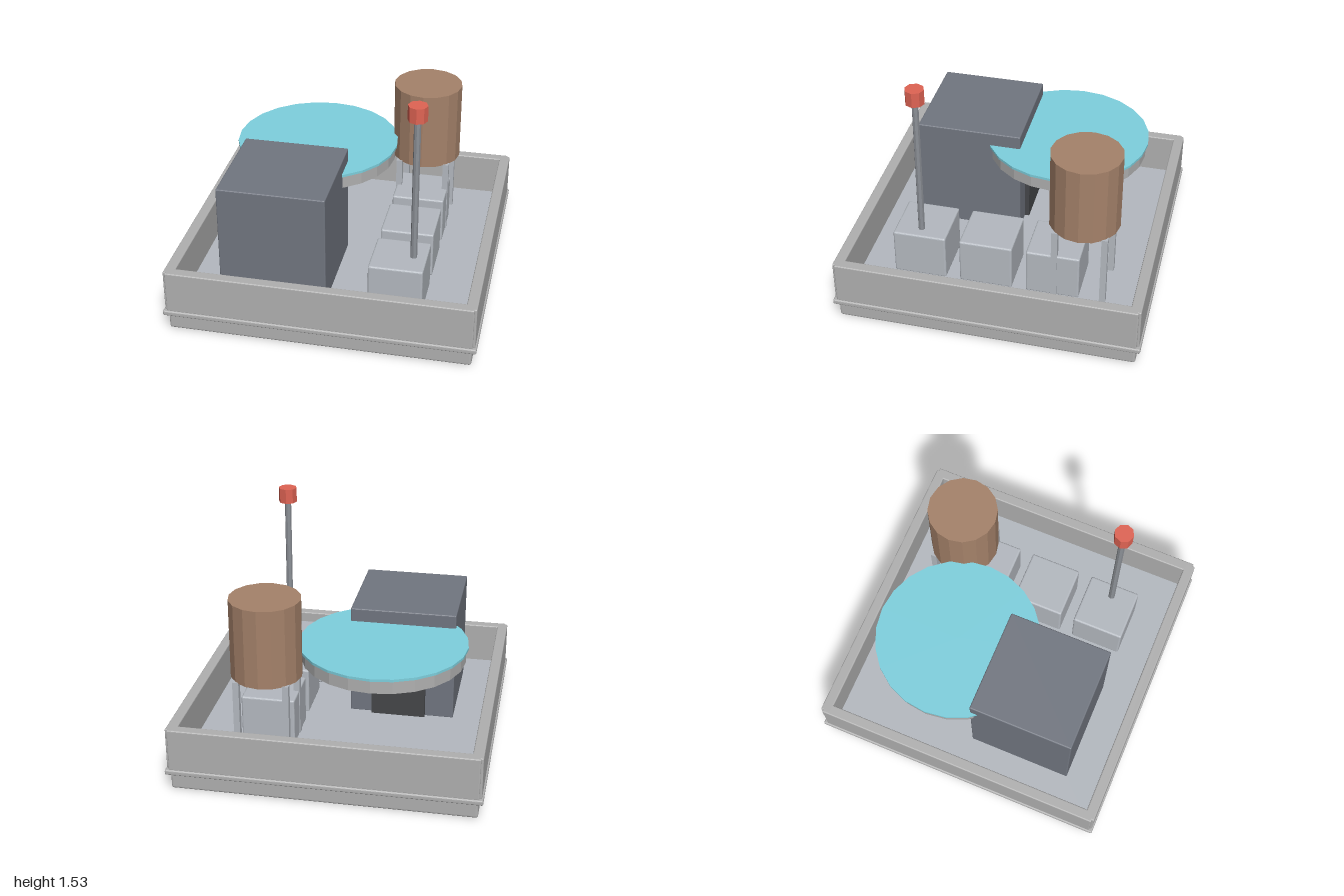
import * as THREE from 'three';
import { RoundedBoxGeometry } from 'three/addons/geometries/RoundedBoxGeometry.js';

const material = (color) => new THREE.MeshStandardMaterial({ color, flatShading: true });

export function createModel() {
  const model = new THREE.Group();
  model.name = 'rooftop';
  const stone = material(0xb0b0b0);
  const pale = material(0xb4b9c0);
  const slate = material(0x717680);
  const metal = material(0x8c9096);
  const cyan = material(0x7ed0de);
  const brown = material(0xa5826a);
  const red = material(0xe06454);

  function add(name, geometry, mat, x, y, z) {
    const mesh = new THREE.Mesh(geometry, mat);
    mesh.name = name;
    mesh.position.set(x, y, z);
    model.add(mesh);
    return mesh;
  }
  // Boxes and cylinders are placed by their bottom and top heights
  function box(name, mat, x, z, w, d, y0, y1, bevel = 0) {
    const h = y1 - y0;
    const geometry = bevel ? new RoundedBoxGeometry(w, h, d, 2, bevel) : new THREE.BoxGeometry(w, h, d);
    return add(name, geometry, mat, x, (y0 + y1) / 2, z);
  }
  function cylinder(name, mat, x, z, r, sides, y0, y1) {
    return add(name, new THREE.CylinderGeometry(r, r, y1 - y0, sides), mat, x, (y0 + y1) / 2, z);
  }

  // Building base, projecting ledge and roof floor
  box('base', stone, 0, 0, 1.94, 1.94, 0, 0.11, 0.015);
  box('ledge', stone, 0, 0, 2, 2, 0.11, 0.145, 0.01);
  box('roofFloor', pale, 0, 0, 1.86, 1.86, 0.12, 0.15);

  // Parapet walls, stopping just short of each outer corner
  for (const s of [-1, 1]) {
    box('parapetAcross', stone, 0, s * 0.955, 1.95, 0.07, 0.14, 0.425, 0.008);
    box('parapetSide', stone, s * 0.955, 0, 0.07, 1.95, 0.14, 0.425, 0.008);
  }

  // Stair house with a door on its back
  box('stairHouse', slate, -0.355, 0.35, 0.7, 0.7, 0.145, 0.9, 0.008);
  box('door', material(0x454649), -0.335, -0.005, 0.36, 0.05, 0.145, 0.7);

  // Round pad with a coloured top
  cylinder('padRim', stone, -0.27, -0.27, 0.53, 24, 0.705, 0.797);
  cylinder('padTop', cyan, -0.27, -0.27, 0.545, 24, 0.793, 0.81);

  // Row of ventilation units
  for (let i = 0; i < 3; i++) {
    box('ventUnit', pale, 0.44, 0.525 - i * 0.4425, 0.35, 0.35, 0.145, 0.46, 0.012);
  }

  // Water tank on four legs
  cylinder('waterTank', brown, 0.44, -0.53, 0.23, 16, 0.645, 1.17);
  for (const sx of [-1, 1]) {
    for (const sz of [-1, 1]) {
      box('tankLeg', pale, 0.44 + sx * 0.16, -0.53 + sz * 0.16, 0.04, 0.04, 0.145, 0.65);
    }
  }

  // Mast with a warning light
  cylinder('mast', metal, 0.53, 0.53, 0.022, 8, 0.45, 1.44);
  cylinder('mastLight', red, 0.53, 0.53, 0.062, 8, 1.43, 1.53);

  return model;
}
